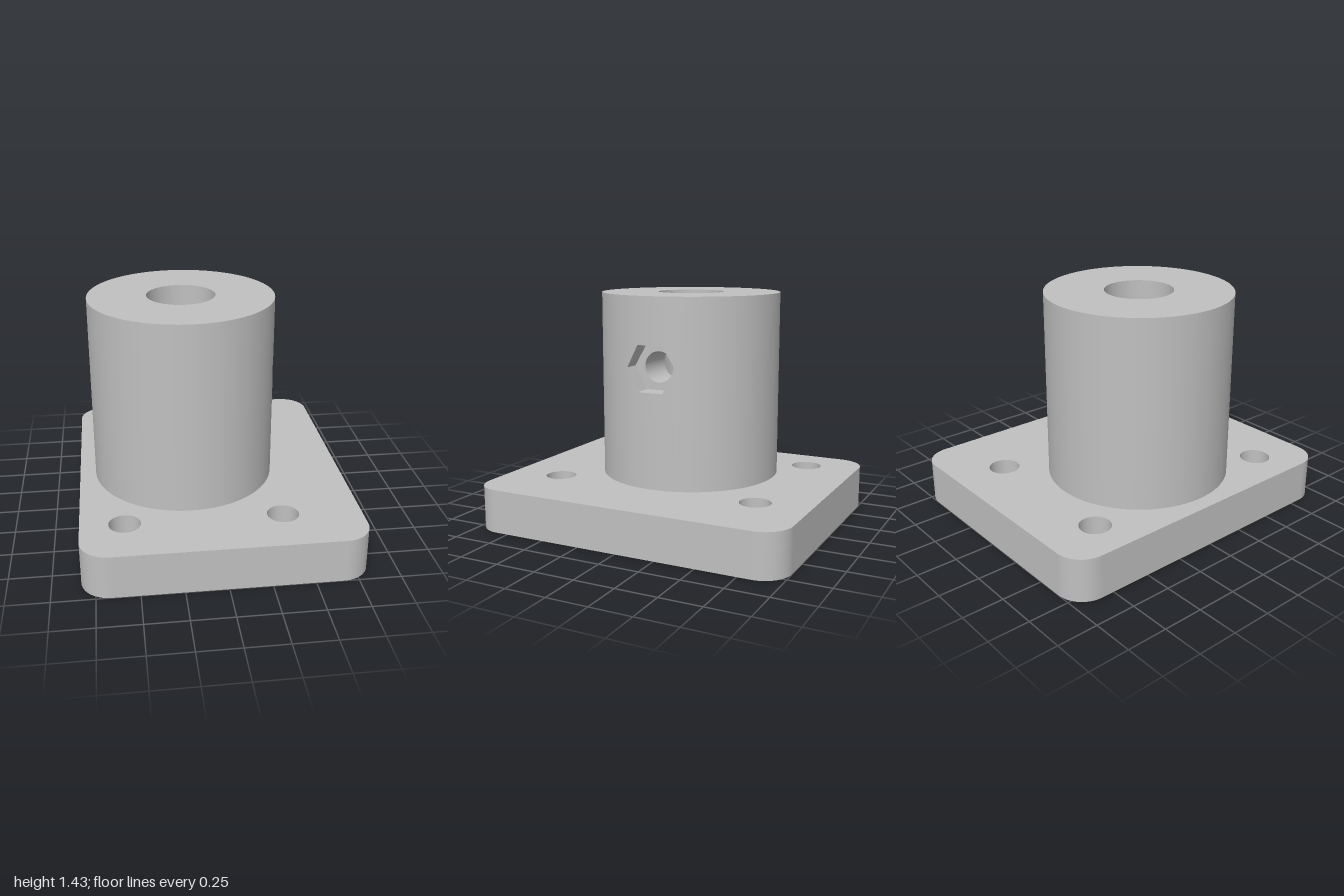
import * as THREE from 'three';
import { ParametricGeometry } from 'three/addons/geometries/ParametricGeometry.js';

const grey = new THREE.MeshStandardMaterial({ color: 0xc0c0c0, side: THREE.DoubleSide });
grey.name = 'grey metal';

const AXIS = -0.167, R = 0.566, BORE = 0.208;     // boss axis and radii
const BASE = 0.267, TOP = 1.43, HOLE_Y = 1.0;
const HEX = 0.163, HOLE = 0.095, FLOOR = 0.275;   // nut pocket and screw hole

export function createModel() {
  const model = new THREE.Group();
  const add = (name, geometry, parent = model) => {
    const mesh = new THREE.Mesh(geometry, grey);
    mesh.name = name;
    parent.add(mesh);
    return mesh;
  };

  // Flat-faced sheet from a rule p(u, v) -> [x, y, z]
  const sheet = (p, columns) => {
    const g = new ParametricGeometry((u, v, t) => t.set(...p(u, v)), columns, 1).toNonIndexed();
    g.computeVertexNormals();
    return g;
  };
  const surfaceX = (r, z) => AXIS + Math.sqrt(r * r - z * z);

  // Base plate with rounded corners and four bolt holes
  const w = 0.833, d = 1, c = 0.17;
  const plate = new THREE.Shape();
  plate.absarc(w - c, d - c, c, 0, Math.PI / 2);
  plate.absarc(-w + c, d - c, c, Math.PI / 2, Math.PI);
  plate.absarc(-w + c, -d + c, c, Math.PI, Math.PI * 1.5);
  plate.absarc(w - c, -d + c, c, Math.PI * 1.5, Math.PI * 2);
  for (const x of [-0.57, 0.363]) for (const z of [-0.667, 0.667]) {
    plate.holes.push(new THREE.Path().absarc(x, z, HOLE, 0, Math.PI * 2, true));
  }
  const plateGeo = new THREE.ExtrudeGeometry(plate, { depth: BASE, bevelEnabled: false, curveSegments: 24 });
  add('basePlate', plateGeo.rotateX(-Math.PI / 2));

  // Upright wall with an opening on its +x side, half(z) high above and below HOLE_Y
  const openWall = (name, r, width, zAt, half) => {
    const group = new THREE.Group();
    group.name = name;
    model.add(group);
    const a = Math.asin(width / r);
    const main = add(name + 'Main', new THREE.CylinderGeometry(r, r, TOP - BASE, 96, 1, true,
      Math.PI / 2 + a, Math.PI * 2 - 2 * a), group);
    main.position.set(AXIS, (TOP + BASE) / 2, 0);
    for (const [part, end, s] of [['Above', TOP, 1], ['Below', BASE, -1]]) {
      add(name + part, sheet((u, v) => {
        const z = zAt(u), edge = HOLE_Y + s * half(z);
        return [surfaceX(r, z), edge + (end - edge) * v, z];
      }, 24), group);
    }
  };
  const hexZ = u => HEX * (2 * u - 1);
  const hexHalf = z => Math.max(0, Math.min(HEX * Math.sqrt(3) / 2, (HEX - Math.abs(z)) * Math.sqrt(3)));
  const roundZ = u => -HOLE * Math.cos(Math.PI * u);
  const roundHalf = z => Math.sqrt(Math.max(0, HOLE * HOLE - z * z));
  openWall('bossWall', R, HEX, hexZ, hexHalf);
  openWall('boreWall', BORE, HOLE, roundZ, roundHalf);

  // Annular top of the boss
  const rim = add('bossTop', new THREE.RingGeometry(BORE, R, 96).rotateX(-Math.PI / 2));
  rim.position.set(AXIS, TOP, 0);

  // Side walls of the nut pocket and of the screw hole behind it
  for (const s of [1, -1]) {
    const side = s > 0 ? 'Upper' : 'Lower';
    add('nutPocket' + side, sheet((u, v) => {
      const z = hexZ(u);
      return [surfaceX(R, z) * (1 - v) + FLOOR * v, HOLE_Y + s * hexHalf(z), z];
    }, 24));
    add('screwHole' + side, sheet((u, v) => {
      const z = roundZ(u);
      return [FLOOR * (1 - v) + surfaceX(BORE, z) * v, HOLE_Y + s * roundHalf(z), z];
    }, 24));
  }

  // Hexagonal pocket floor around the screw hole
  const hex = new THREE.Shape();
  for (let i = 0; i < 6; i++) {
    const a = i * Math.PI / 3;
    hex[i ? 'lineTo' : 'moveTo'](HEX * Math.cos(a), HEX * Math.sin(a));
  }
  hex.closePath();
  hex.holes.push(new THREE.Path().absarc(0, 0, HOLE, 0, Math.PI * 2, true));
  const floor = add('nutPocketFloor', new THREE.ShapeGeometry(hex, 24).rotateY(Math.PI / 2));
  floor.position.set(FLOOR, HOLE_Y, 0);

  return model;
}
